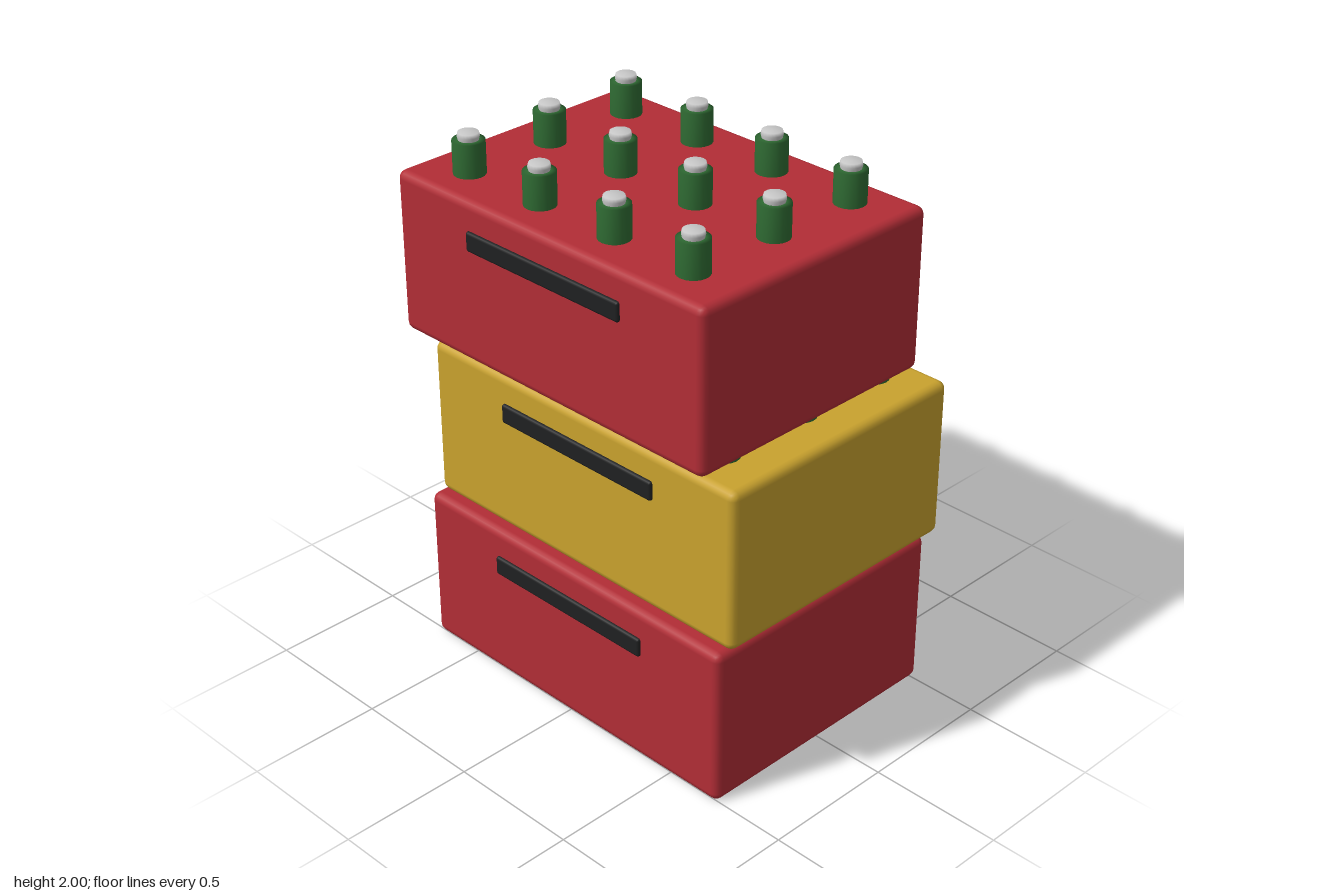
import * as THREE from 'three';
import { RoundedBoxGeometry } from 'three/addons/geometries/RoundedBoxGeometry.js';

const material = (name, color) => {
  const m = new THREE.MeshStandardMaterial({ color });
  m.name = name;
  return m;
};

// Smooth solid of revolution from [radius, height] pairs, bottom to top
const lathe = (pairs) =>
  new THREE.LatheGeometry(pairs.map(([r, y]) => new THREE.Vector2(r, y)), 20);

export function createModel() {
  const red = material('red plastic', 0xb22d36);
  const yellow = material('yellow plastic', 0xc9a22e);
  const black = material('black handle', 0x1f2021);
  const green = material('green glass', 0x2f6b33);
  const silver = material('silver cap', 0xc8c8c8);

  const W = 1.44, H = 0.6, D = 1.04, STEP = 0.626;
  const crateGeo = new RoundedBoxGeometry(W, H, D, 2, 0.03);
  const handleGeo = new RoundedBoxGeometry(0.72, 0.073, 0.04, 2, 0.01);
  // Heights measured from the crate floor
  const bottleGeo = lathe([[0, 0.4], [0.057, 0.4], [0.057, 0.721], [0.036, 0.722]]);
  const capGeo = lathe([[0.034, 0.715], [0.039, 0.735], [0.036, 0.748], [0, 0.748]]);

  const model = new THREE.Group();
  model.name = 'crateStack';
  const add = (parent, name, geo, mat, x, y, z) => {
    const mesh = new THREE.Mesh(geo, mat);
    mesh.name = name;
    mesh.position.set(x, y, z);
    parent.add(mesh);
  };

  // Three crates, each shifted slightly off the stack's axis
  const crates = [
    ['bottomCrate', red, 0.01, -0.005],
    ['middleCrate', yellow, 0.05, -0.025],
    ['topCrate', red, -0.05, 0.015],
  ];
  crates.forEach(([name, mat, x, z], level) => {
    const crate = new THREE.Group();
    crate.name = name;
    crate.position.set(x, level * STEP, z);
    add(crate, 'crateBody', crateGeo, mat, 0, H / 2, 0);
    add(crate, 'frontHandle', handleGeo, black, 0, 0.46, D / 2 - 0.008);
    // Four by three bottles standing out of the top
    for (let i = 0; i < 4; i++) {
      for (let j = 0; j < 3; j++) {
        const bx = (i - 1.5) * 0.349, bz = (j - 1) * 0.362;
        add(crate, 'bottle', bottleGeo, green, bx, 0, bz);
        add(crate, 'bottleCap', capGeo, silver, bx, 0, bz);
      }
    }
    model.add(crate);
  });
  return model;
}
